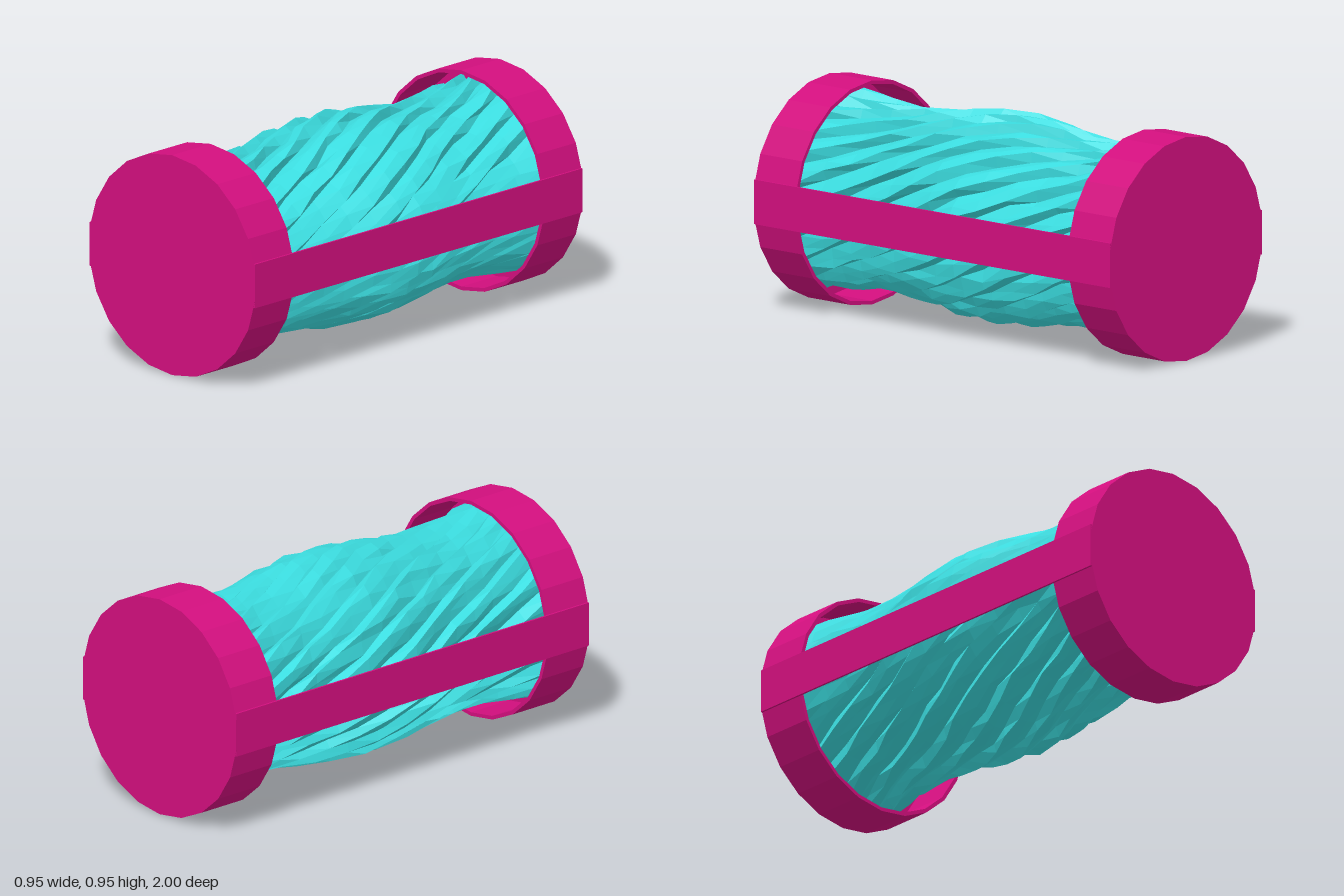
import * as THREE from 'three';

const R = 0.4775; // outer radius, also the height of the axis

// Repeatable noise in -1..1 for the rough-hewn core
function noise(a, b) {
  const s = Math.sin(a * 127.1 + b * 311.7) * 43758.5453;
  return 2 * (s - Math.floor(s)) - 1;
}

// Splits faces apart so that every facet is flat
function faceted(geometry) {
  const flat = geometry.toNonIndexed();
  flat.computeVertexNormals();
  return flat;
}

// Twisted bundle of saw-toothed ridges, bulging in the middle
function coreGeometry() {
  const ridges = 22, cols = ridges * 3, rows = 15, length = 1.94;
  const steps = [0, 0.22, 0.62];      // trough, crest, mid slope
  const depth = [0.036, 0, 0.014];
  const geo = new THREE.CylinderGeometry(1, 1, length, cols, rows, true);
  const pos = geo.attributes.position, uv = geo.attributes.uv;
  for (let i = 0; i < pos.count; i++) {
    const col = Math.round(uv.getX(i) * cols) % cols;
    const row = Math.round(uv.getY(i) * rows);
    const ridge = Math.floor(col / 3), k = col % 3;
    const z = (row / rows - 0.5) * length;
    const wave = 0.42 + 0.028 * Math.cos((z * Math.PI * 2) / 1.15);
    const r = wave - depth[k] + 0.006 * noise(col, row);
    const turn = ridge + steps[k] + 0.1 * noise(col + 40, row);
    const a = (turn / ridges) * Math.PI * 2 - 1.15 * z;
    pos.setXYZ(i, r * Math.cos(a), r * Math.sin(a), z);
  }
  return faceted(geo);
}

// Shallow cup, closed on the outside and open towards the core
function capGeometry() {
  const depth = 0.235, inner = R - 0.016;
  const profile = [[0, 0], [R, 0], [R, depth], [inner, depth], [inner, 0.02], [0, 0.02]]
    .map(([x, y]) => new THREE.Vector2(x, y));
  const geo = new THREE.LatheGeometry(profile, 22);
  geo.rotateX(-Math.PI / 2);
  geo.translate(0, 0, 1);
  return faceted(geo);
}

export function createModel() {
  const magenta = new THREE.MeshStandardMaterial({ color: 0xd20f7e });
  magenta.name = 'magenta';
  const turquoise = new THREE.MeshStandardMaterial({ color: 0x3bdde0 });
  turquoise.name = 'turquoise';

  const model = new THREE.Group();
  model.name = 'twistedCylinder';
  const add = (name, geometry, material) => {
    const mesh = new THREE.Mesh(geometry, material);
    mesh.name = name;
    mesh.position.y = R;
    model.add(mesh);
    return mesh;
  };

  add('twistedCore', coreGeometry(), turquoise);

  // End caps
  const cap = capGeometry();
  add('frontCap', cap, magenta);
  add('backCap', cap, magenta).rotation.y = Math.PI;

  // Thin side bars joining the caps
  const bar = new THREE.BoxGeometry(0.009, 0.19, 1.998);
  for (const side of [1, -1]) {
    add(side > 0 ? 'leftBar' : 'rightBar', bar, magenta).position.x = side * 0.469;
  }
  return model;
}
